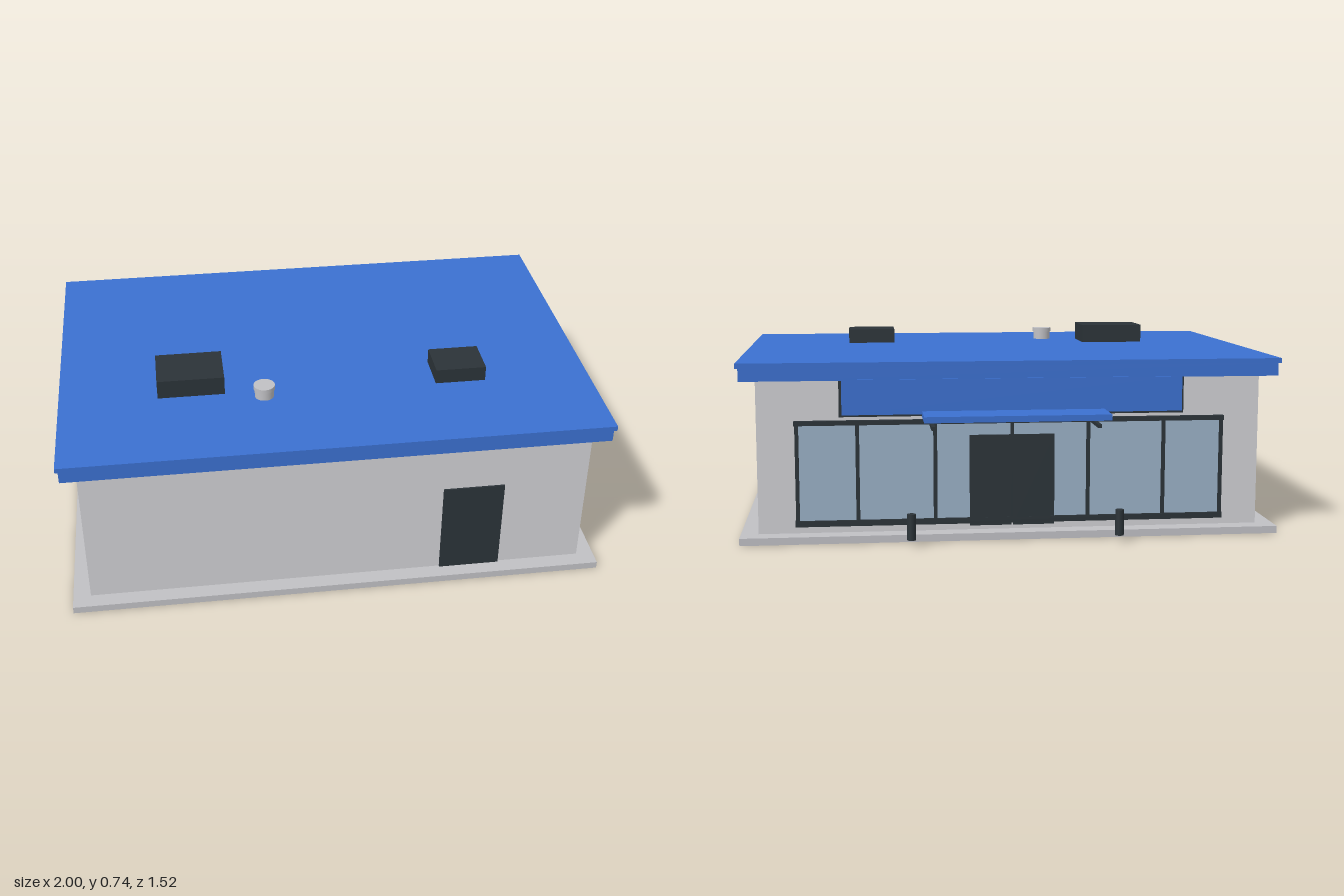
import * as THREE from 'three';

const mat = (name, color) => {
  const m = new THREE.MeshStandardMaterial({ color });
  m.name = name;
  return m;
};

export function createModel() {
  const root = new THREE.Group();
  root.name = 'shopBuilding';
  const wall = mat('pale grey wall', 0xd0d0d4);
  const concrete = mat('concrete', 0xc0c0c4);
  const blue = mat('blue roof', 0x3b70d0);
  const dark = mat('dark metal', 0x2b3338);
  const glass = mat('blue grey glass', 0x9ab0c6);

  // box given by its minimum and maximum on each axis
  const box = (name, material, x0, x1, y0, y1, z0, z1) => {
    const mesh = new THREE.Mesh(new THREE.BoxGeometry(x1 - x0, y1 - y0, z1 - z0), material);
    mesh.position.set((x0 + x1) / 2, (y0 + y1) / 2, (z0 + z1) / 2);
    mesh.name = name;
    root.add(mesh);
    return mesh;
  };
  const cylinder = (name, material, r, x, y0, y1, z) => {
    const mesh = new THREE.Mesh(new THREE.CylinderGeometry(r, r, y1 - y0, 24), material);
    mesh.position.set(x, (y0 + y1) / 2, z);
    mesh.name = name;
    root.add(mesh);
    return mesh;
  };

  // main shell
  box('groundSlab', concrete, -1, 1, 0, 0.027, -0.607, 0.757);
  box('walls', wall, -0.935, 0.935, 0.027, 0.6, -0.54, 0.697);
  box('roofFascia', blue, -0.99, 0.99, 0.597, 0.645, -0.6, 0.75);
  box('roofCap', blue, -1, 1, 0.645, 0.663, -0.607, 0.757);

  // service door on the front
  box('serviceDoor', dark, 0.39, 0.62, 0.027, 0.395, 0.697, 0.704);

  // rooftop equipment
  box('largeRoofUnit', dark, -0.635, -0.385, 0.663, 0.735, 0.17, 0.36);
  box('smallRoofUnit', dark, 0.41, 0.6, 0.663, 0.72, 0.235, 0.39);
  cylinder('roofVent', concrete, 0.036, -0.24, 0.663, 0.695, 0.39);
  cylinder('roofVentCap', concrete, 0.04, -0.24, 0.695, 0.711, 0.39);

  // glazed shopfront on the back
  box('shopWindow', glass, -0.79, 0.79, 0.06, 0.435, -0.55, -0.54);
  box('topRail', dark, -0.8, 0.8, 0.428, 0.445, -0.558, -0.54);
  box('bottomRail', dark, -0.8, 0.8, 0.053, 0.075, -0.558, -0.54);
  for (const x of [-0.79, -0.57, -0.285, 0, 0.285, 0.57, 0.79])
    box('mullion', dark, x - 0.007, x + 0.007, 0.06, 0.44, -0.556, -0.54);
  for (const s of [-1, 1]) {
    const a = s * 0.003, b = s * 0.158;
    box('entranceDoor', dark, Math.min(a, b), Math.max(a, b), 0.045, 0.385, -0.557, -0.55);
  }

  // fascia panel above the entrance
  box('panelBacking', dark, -0.635, 0.635, 0.463, 0.6, -0.588, -0.575);
  box('frontPanel', blue, -0.625, 0.625, 0.472, 0.6, -0.606, -0.588);

  // canopy with its brackets, and bollards either side
  box('canopy', blue, -0.335, 0.335, 0.461, 0.483, -0.76, -0.54);
  for (const s of [-1, 1]) {
    box('canopyBracket', dark, s * 0.3 - 0.007, s * 0.3 + 0.007, 0.427, 0.44, -0.71, -0.54);
    cylinder('bollard', dark, 0.016, s * 0.38, 0.027, 0.122, -0.688);
  }

  return root;
}
